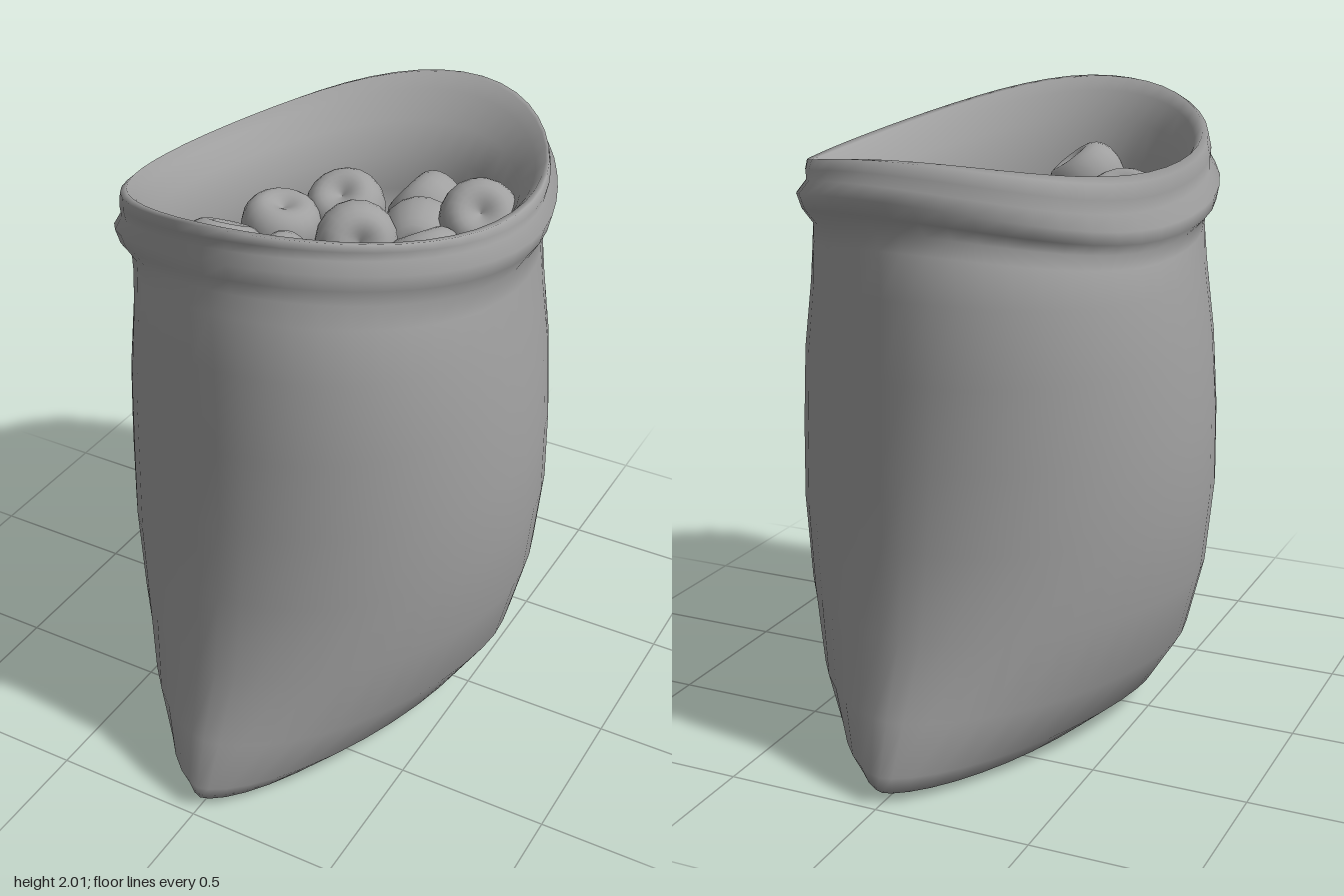
import * as THREE from 'three';

const SEG = 48;

// Body rings: height, half width, half depth, corner sharpness
const BODY = [
  [0.002, 0.28, 0.5, 1.1],
  [0.02, 0.40, 0.955, 1.3],
  [0.09, 0.49, 0.97, 1.28],
  [0.25, 0.59, 0.92, 1.2],
  [0.48, 0.645, 0.83, 1.1],
  [0.75, 0.67, 0.80, 1.06],
  [1.0, 0.665, 0.775, 1.03],
];

// Mouth rings: height, half width, half depth, share of rim lift, skew, z shift
const MOUTH = [
  [1.25, 0.642, 0.768, 0.1, 0, 0],
  [1.46, 0.61, 0.76, 0.5, 0, 0],
  [1.57, 0.587, 0.745, 0.9, 0.02, 0],
  [1.62, 0.578, 0.728, 1, 0.04, 0], // neck
  [1.66, 0.605, 0.75, 1, 0.05, -0.01], // lower fold
  [1.705, 0.612, 0.775, 1, 0.05, -0.02],
  [1.75, 0.58, 0.757, 1, 0.05, -0.015], // crease
  [1.785, 0.582, 0.76, 1, 0.05, -0.01], // lip
  [1.822, 0.572, 0.76, 1, 0.05, 0],
  [1.83, 0.552, 0.738, 1, 0.06, 0],
  [1.80, 0.525, 0.695, 1, 0.07, 0.005], // sloping inside of the rim
  [1.74, 0.485, 0.625, 0.95, 0.09, 0.02],
  [1.66, 0.455, 0.57, 0.7, 0.11, 0.03],
  [1.56, 0.45, 0.555, 0.3, 0.12, 0.03],
  [1.42, 0.45, 0.55, 0, 0.12, 0.03],
];

// Height of the rim: raised at the front and back, sagging at the sides
function rimLift(z) {
  const d = z + 0.2;
  return d > 0 ? 0.18 * (d / 0.95) ** 2 : 0.09 * (d / 0.57) ** 2;
}

function sackGeometry() {
  const pos = [], idx = [];
  const pow = (v, p) => Math.sign(v) * Math.abs(v) ** p;

  // lens-shaped body with pointed corners curling up at the bottom
  BODY.forEach(([y, a, b, p], i) => {
    for (let j = 0; j < SEG; j++) {
      const t = (j / SEG) * Math.PI * 2;
      const x = a * pow(Math.cos(t), p), z = b * pow(Math.sin(t), p);
      const curl = i < 2 ? 0.015 * Math.abs(z) ** 3 : 0;
      pos.push(x, y + curl, z);
    }
  });

  // neck, crumpled fold, lip and inside
  MOUTH.forEach(([y, a, b, follow, skew, shift], i) => {
    const crumple = i > 1 && i < 9 ? 0.012 * Math.sin(((i - 1) / 8) * Math.PI) : 0;
    for (let j = 0; j < SEG; j++) {
      const t = (j / SEG) * Math.PI * 2;
      const w = 1 + crumple * (Math.sin(3 * t + i * 0.5 + 3.5) + Math.sin(5 * t + 1.3));
      const x = a * w * Math.cos(t), z = b * w * Math.sin(t);
      const tilt = 5 * crumple * x;
      pos.push(x - skew * z, y + tilt + follow * rimLift(z), z - skew * x + shift);
    }
  });

  const rings = BODY.length + MOUTH.length;
  for (let i = 0; i < rings - 1; i++) {
    for (let j = 0; j < SEG; j++) {
      const a = i * SEG + j, b = i * SEG + ((j + 1) % SEG);
      idx.push(a, a + SEG, b, a + SEG, b + SEG, b);
    }
  }

  // underside and inner floor
  const base = rings * SEG, last = (rings - 1) * SEG;
  pos.push(0, 0, 0, 0, 1.45, 0);
  for (let j = 0; j < SEG; j++) {
    const k = (j + 1) % SEG;
    idx.push(base, j, k, base + 1, last + k, last + j);
  }
  const g = new THREE.BufferGeometry();
  g.setAttribute('position', new THREE.Float32BufferAttribute(pos, 3));
  g.setIndex(idx);
  g.computeVertexNormals();
  return g;
}

// Round fruit with a shallow dimple at both ends
function fruitGeometry() {
  const profile = [
    [0, -0.09], [0.03, -0.105], [0.065, -0.11], [0.1, -0.08], [0.125, -0.02],
    [0.132, 0.03], [0.118, 0.08], [0.085, 0.11], [0.05, 0.112], [0.02, 0.098], [0, 0.085],
  ].map(([x, y]) => new THREE.Vector2(x, y));
  return new THREE.LatheGeometry(new THREE.SplineCurve(profile).getPoints(20)
    .map((p) => new THREE.Vector2(Math.max(0, p.x), p.y)), 18);
}

// Fruit centres: x, y, z
const FRUIT = [
  [0.09, 1.54, -0.43], [-0.13, 1.57, -0.26], [0.14, 1.54, -0.25], [0.32, 1.62, -0.32],
  [0.37, 1.5, -0.22], [-0.27, 1.55, -0.07], [0.01, 1.59, -0.06], [0.24, 1.53, -0.11],
  [0.35, 1.54, 0.01], [-0.16, 1.52, 0.14], [0.11, 1.54, 0.14], [0.28, 1.52, 0.24],
  [-0.27, 1.62, 0.29], [-0.05, 1.54, 0.32], [0.12, 1.54, 0.39], [-0.08, 1.67, 0.47],
  [-0.35, 1.46, 0.12], [-0.2, 1.45, -0.36], [-0.26, 1.47, 0.42], [0, 1.43, 0.02],
];

export function createModel() {
  const model = new THREE.Group();
  const grey = new THREE.MeshStandardMaterial({ color: 0xa0a0a0 });
  grey.name = 'plainGrey';

  const sack = new THREE.Mesh(sackGeometry(), grey);
  sack.name = 'sack';
  model.add(sack);

  const pile = new THREE.Group();
  pile.name = 'fruitPile';
  const geo = fruitGeometry();
  FRUIT.forEach(([x, y, z], i) => {
    const fruit = new THREE.Mesh(geo, grey);
    fruit.name = 'fruit';
    fruit.position.set(x, y, z);
    fruit.rotation.set(Math.sin(i * 2.4) * 0.9, i, Math.cos(i * 1.7) * 0.9);
    pile.add(fruit);
  });
  model.add(pile);
  return model;
}
